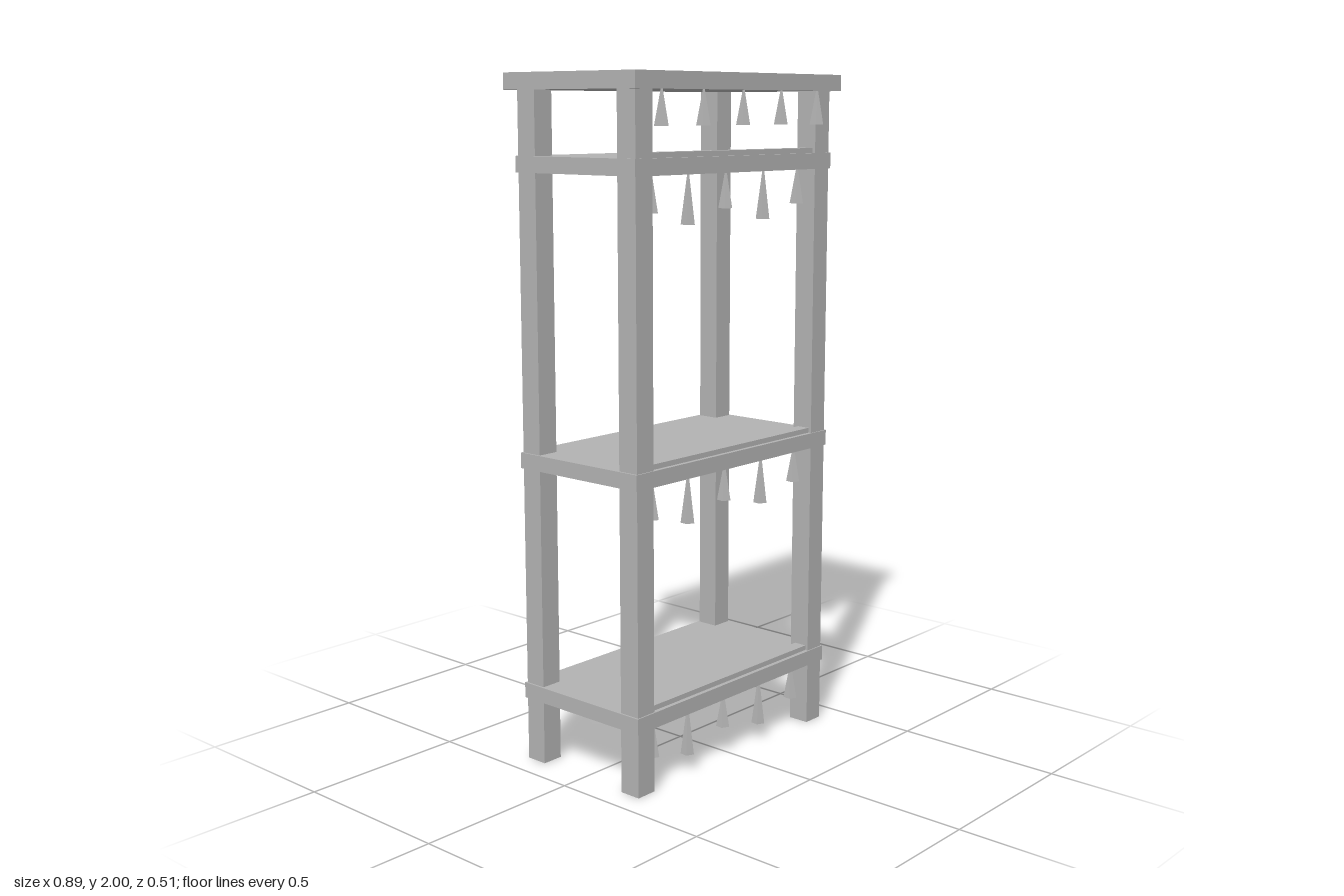
import * as THREE from 'three';

export function createModel() {
  const model = new THREE.Group();
  const grey = new THREE.MeshStandardMaterial({ color: 0xb2b2b2 });
  grey.name = 'plain grey';

  // Box given by its limits on each axis
  function box(name, x0, x1, y0, y1, z0, z1, parent = model) {
    const mesh = new THREE.Mesh(new THREE.BoxGeometry(x1 - x0, y1 - y0, z1 - z0), grey);
    mesh.position.set((x0 + x1) / 2, (y0 + y1) / 2, (z0 + z1) / 2);
    mesh.name = name;
    parent.add(mesh);
  }

  // Hanging five-sided spike, widening downwards from a narrow tip
  function spike(name, x, top, length, z, parent) {
    const geometry = new THREE.CylinderGeometry(0.003, 0.021, length, 5).toNonIndexed();
    geometry.computeVertexNormals();
    const mesh = new THREE.Mesh(geometry, grey);
    mesh.position.set(x, top - length / 2, z);
    mesh.rotation.y = 0.2;
    mesh.name = name;
    parent.add(mesh);
  }

  // Table top
  box('topBoard', -0.448, 0.446, 1.953, 2, -0.257, 0.241);

  // Four legs
  for (const [side, x0, x1] of [['right', -0.424, -0.358], ['left', 0.353, 0.419]]) {
    box(side + 'FrontLeg', x0, x1, 0, 1.953, 0.153, 0.219);
    box(side + 'BackLeg', x0, x1, 0, 1.953, -0.227, -0.16);
  }

  // Spikes under the front edge of the top
  const topSpikes = new THREE.Group();
  topSpikes.name = 'topSpikes';
  for (let i = -2; i <= 2; i++) {
    spike('topSpike', i * 0.169 - 0.002, 1.953, 0.096, 0.236, topSpikes);
  }
  model.add(topSpikes);

  // Three shelves, each with a raised front rail and hanging spikes
  const spikeXs = [-0.33, -0.18, -0.02, 0.148, 0.307];
  for (const [name, y] of [['lower', 0.19], ['middle', 0.884], ['upper', 1.727]]) {
    const shelf = new THREE.Group();
    shelf.name = name + 'Shelf';
    box('shelfBoard', -0.43, 0.424, y, y + 0.046, -0.232, 0.223, shelf);
    box('frontRail', -0.358, 0.353, y, y + 0.061, 0.17, 0.21, shelf);
    spikeXs.forEach((x, i) => spike('shelfSpike', x, y, i % 2 ? 0.138 : 0.1, 0.188, shelf));
    model.add(shelf);
  }

  return model;
}
